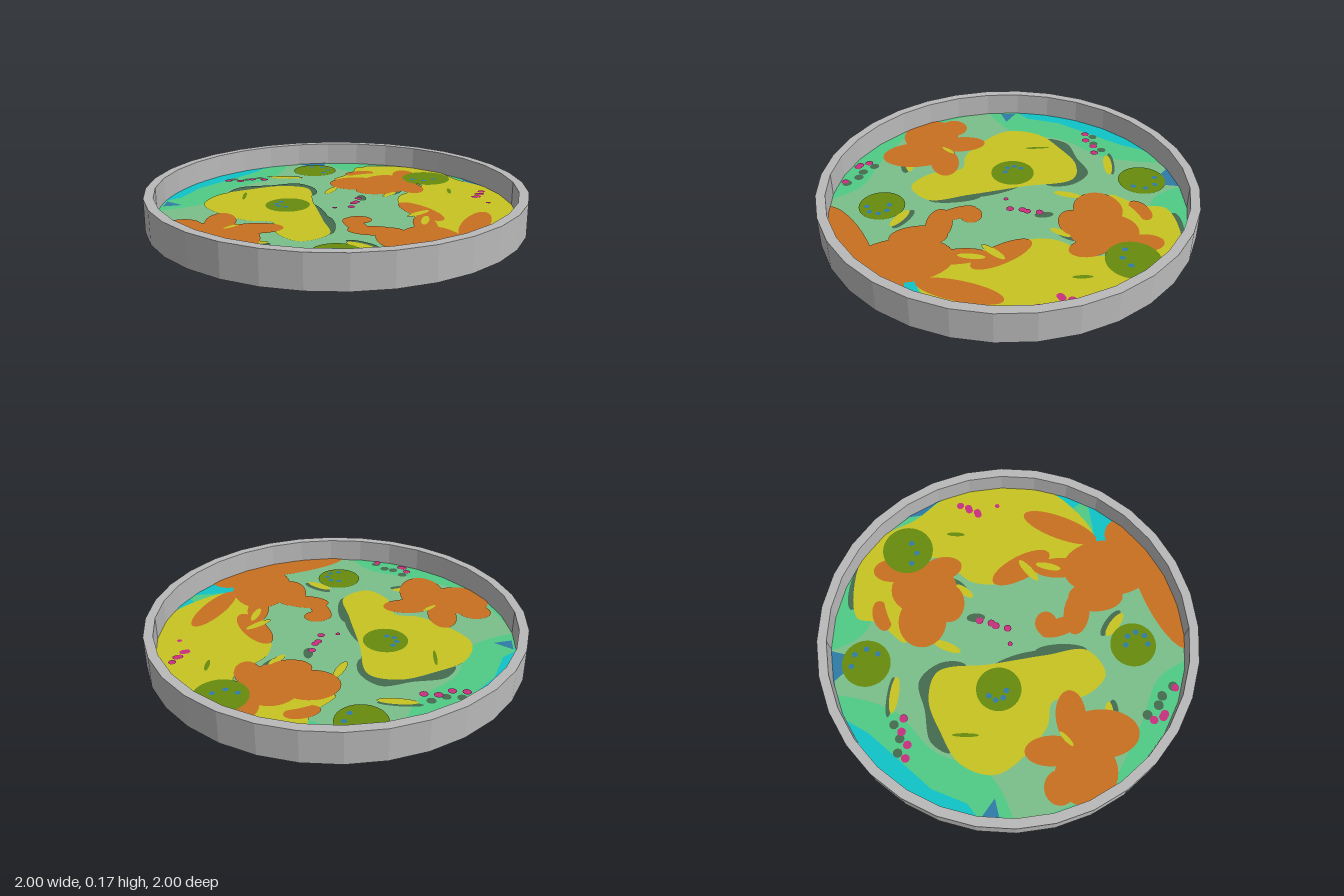
import * as THREE from 'three';

const SIDES = 32, INNER = 0.95, HEIGHT = 0.175, FLOOR = 0.045, STEP = 0.0008;

const mat = (name, color) => {
  const m = new THREE.MeshStandardMaterial({ color });
  m.name = name;
  return m;
};

// Point from hundredths, kept inside the 32-sided floor
function floorPoint(x, z) {
  const seg = (2 * Math.PI) / SIDES;
  const a = (((Math.atan2(z, x) % seg) + seg) % seg) - seg / 2;
  const limit = (INNER * Math.cos(seg / 2)) / Math.cos(a);
  const r = Math.hypot(x, z) / 100;
  const k = (r > limit ? limit / r : 1) / 100;
  return new THREE.Vector2(x * k, z * k);
}

// Closed outline through x, z pairs, smooth or straight-edged
function outline(curveType, tension, v) {
  const pts = [];
  for (let i = 0; i < v.length; i += 2) pts.push(new THREE.Vector3(v[i], 0, v[i + 1]));
  const curve = new THREE.CatmullRomCurve3(pts, true, curveType, tension);
  const count = pts.length * 10;
  return Array.from({ length: count }, (_, i) => {
    const p = curve.getPoint(i / count);
    return floorPoint(p.x, p.z);
  });
}
const blob = (...v) => outline('centripetal', 0.5, v);
const poly = (...v) => outline('catmullrom', 0, v);

// Ellipse turned by an angle in degrees (towards +z)
function oval(cx, cz, rx, rz = rx, deg = 0) {
  const a = (deg * Math.PI) / 180;
  return Array.from({ length: SIDES }, (_, i) => {
    const t = (i / SIDES) * Math.PI * 2;
    const u = rx * Math.cos(t), w = rz * Math.sin(t);
    return floorPoint(cx + u * Math.cos(a) - w * Math.sin(a), cz + u * Math.sin(a) + w * Math.cos(a));
  });
}

// Row of dots between two points, and an arc of small dots inside a disc
const row = (n, x0, z0, x1, z1, r) => Array.from({ length: n }, (_, i) => {
  const t = i / (n - 1);
  return oval(x0 + (x1 - x0) * t, z0 + (z1 - z0) * t + (i % 2 ? 1 : -1), r);
});
const arc = (n, cx, cz, r, start) => Array.from({ length: n }, (_, i) => {
  const t = ((start + i * 50) * Math.PI) / 180;
  return oval(cx + r * Math.cos(t), cz + r * Math.sin(t), 1.5);
});

// Painted areas, from the lowest to the topmost
function paintLayers() {
  const layers = [];
  const layer = (name, material, ...shapes) => layers.push({ name, material, shapes });
  const yellow = mat('yellow', 0xc8c421);

  layer('ground', mat('sage', 0x7abf8a), oval(0, 0, 110));

  layer('mintFields', mat('mint', 0x4fcb86),
    blob(-28, -97, -35, -62, -58, -40, -71, -12, -104, -2, -90, -70),
    blob(-104, 10, -85, 43, -50, 66, -22, 80, -14, 102, -80, 80),
    blob(0, -104, 8, -78, 50, -68, 75, -80),
    poly(70, -70, 76, -46, 104, -25),
    poly(102, 15, 55, 52, 60, 80, 95, 60));

  layer('turquoiseFields', mat('turquoise', 0x0fc3c8),
    poly(-32, -99, -47, -74, -60, -60, -77, -42, -85, -24, -105, -10, -80, -80),
    poly(102, 17, 80, 40, 86, 48, 100, 34),
    poly(55, 52, 82, 49, 68, 66, 56, 62));

  const blue = mat('blue', 0x2f7ba8);
  layer('bluePatches', blue,
    poly(-24, -99, -12, -86, -4, -85, 0, -99),
    poly(-92, -17, -83, -10, -93, -8),
    poly(78, -55, 79, -46, 90, -34, 96, -38));

  layer('darkShadows', mat('darkGreen', 0x456b4f),
    blob(-59, -32, -53, -42, -36, -45, -20, -48, -10, -36, -12, -23, -40, -30),
    oval(-10, 5, 3, 14, -15), oval(-6, 28, 4, 14), oval(36, -82, 14, 4, 12),
    oval(-28, -63, 11, 2, 8), oval(35, -26, 6, 2, -50), oval(9, 56, 9, 3, 38),
    oval(-43, 53, 9, 3, 5), oval(45, 9, 8, 2, -40), oval(15, -17, 2.5, 5),
    ...row(3, -58, -58, -43, -60, 2.4), ...row(4, -43, 72, -28, 85, 2.6));

  layer('yellowFields', yellow,
    blob(-30, -43, -15, -38, -12, -10, -8, 20, -6, 42, -20, 51, -31, 40, -34, 22, -48, 18, -71, -8, -65, -27, -48, -37),
    blob(18, -82, 60, -77, 76, -50, 90, -32, 104, 0, 100, 18, 59, 51, 36, 5, 36, -18, 52, -38, 40, -57, 2, -55, 14, -70),
    oval(-27, -61, 10, 2.4, 8), oval(-1, -33, 2.4, 8, 25), oval(31, -23, 6, 2.2, -50),
    oval(8, 58, 8, 2.6, 38), oval(-43, 51, 8, 2.4, 2));

  // Splashes made of overlapping lobes
  layer('orangeSplashes', mat('orange', 0xc87020),
    oval(14, -46, 15, 13), oval(33, -45, 15, 18), oval(45, -62, 7, 11), oval(18, -68, 9, 5, -15),
    oval(45, -35, 7, 11, -10), oval(24, -31, 11, 8),
    oval(-72, 37, 17, 16, 25), oval(-52, 46, 13, 20), oval(-60, 20, 8, 14), oval(-42, 31, 14, 8), oval(-79, 23, 9, 8),
    oval(42, 57, 17, 25), oval(10, 21, 7, 6), oval(8, 29, 5, 12, -20), oval(16, 38, 13, 7, 10), oval(25, 49, 9, 15),
    oval(28, 85, 37, 11, -18), oval(68, 32, 7, 22, 25), oval(44, 9, 7, 18, -28), oval(43, 30, 6, 14), oval(62, 66, 10, 9));

  layer('oliveDiscs', mat('olive', 0x678c0d),
    oval(-9, -76, 13), oval(57, -54, 14), oval(-26, -6, 12), oval(-4, 67, 12.3),
    oval(-50, -24, 1, 7, 3), oval(66, -27, 1.2, 5, 5));

  layer('yellowStrokes', yellow,
    oval(20, -63, 11, 2.4, -18), oval(42, 13, 8, 2.2, -38), oval(44, 24, 2, 7, 15), oval(-54, 28, 5, 1.3, -40));

  layer('blueDots', blue,
    ...arc(4, -9, -76, 8, -100), ...arc(3, 55, -57, 8, 40), ...arc(4, -27, -7, 5, 90), ...arc(5, -3, 69, 6, -100));

  layer('magentaDots', mat('magenta', 0xc8307f),
    ...row(4, -61, -54, -40, -57, 2.2), ...row(4, 13, -14, 8, -1, 2), ...row(5, 84, -23, 78, -13, 2),
    ...row(3, -46, 75, -43, 81, 2.2), oval(-29, 87, 2), oval(-1, 1, 1.3), oval(83, -3, 1.3));

  return layers;
}

export function createModel() {
  const model = new THREE.Group();
  model.name = 'paintedTray';

  // Faceted rim: outer wall, top edge, inner wall
  const profile = [[1, 0], [1, HEIGHT], [INNER, HEIGHT], [INNER, FLOOR]].map(p => new THREE.Vector2(...p));
  const rimGeo = new THREE.LatheGeometry(profile, SIDES).toNonIndexed();
  rimGeo.computeVertexNormals();
  const rim = new THREE.Mesh(rimGeo, mat('rimGrey', 0xb9b9b9));
  rim.name = 'rim';
  model.add(rim);

  // Floor painting, repeated on the underside at full width
  const layers = paintLayers();
  for (const under of [false, true]) {
    const face = new THREE.Group();
    face.name = under ? 'undersidePainting' : 'floorPainting';
    const scale = under ? 1 / INNER : 1, flip = under ? 1 : -1;
    layers.forEach(({ name, material, shapes }, level) => {
      const flat = shapes.map(s => new THREE.Shape(s.map(p => new THREE.Vector2(p.x * scale, p.y * scale * flip))));
      const mesh = new THREE.Mesh(new THREE.ShapeGeometry(flat).rotateX((flip * Math.PI) / 2), material);
      mesh.position.y = under ? (layers.length - 1 - level) * STEP : FLOOR + level * STEP;
      mesh.name = name;
      face.add(mesh);
    });
    model.add(face);
  }
  return model;
}
